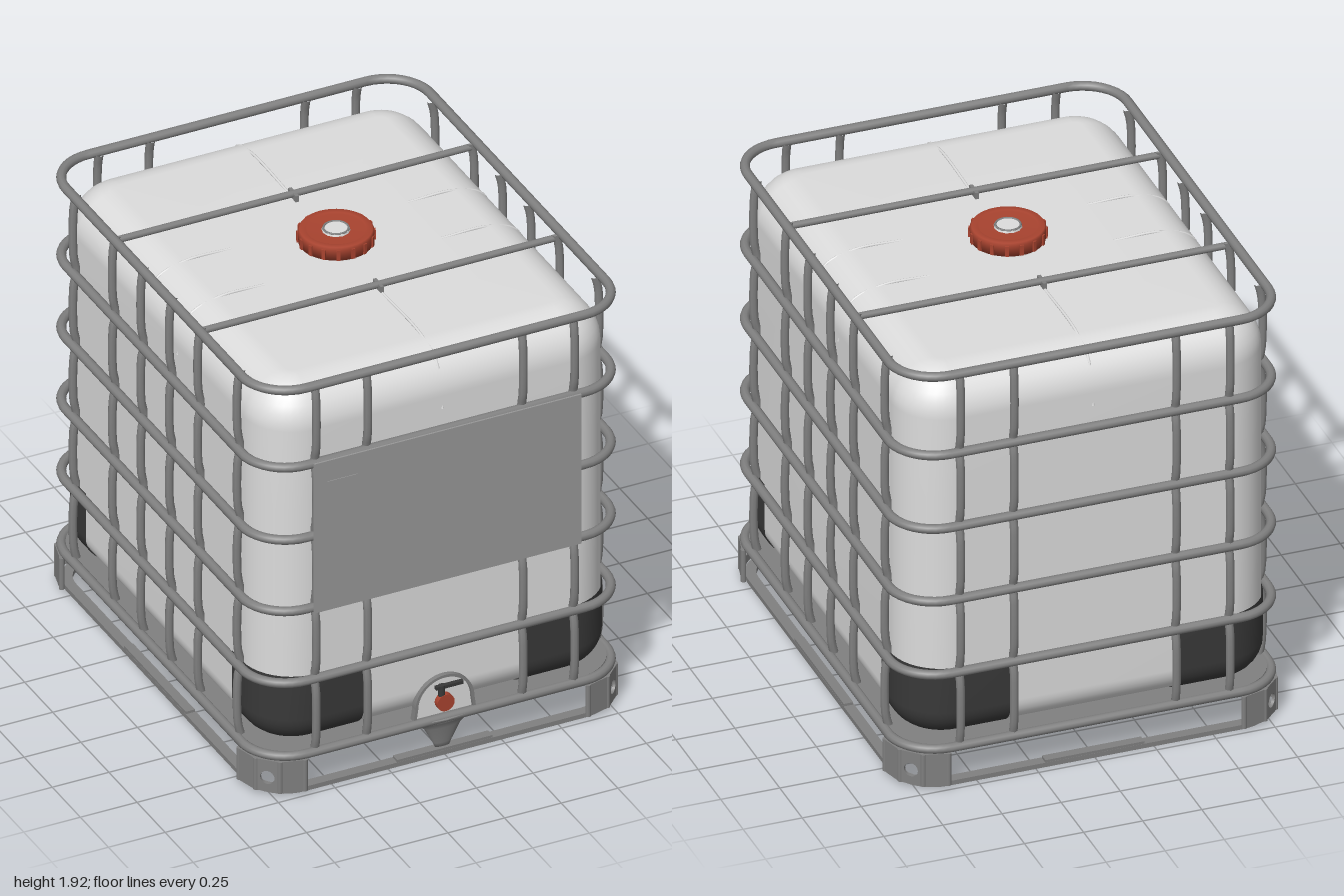
import * as THREE from 'three';

const N = 10; // segments per rounded corner
const PER = N + 1;

// Point i on a rounded rectangle in plan, running from +x towards +z
function outline(hx, hz, r, i) {
  const k = Math.floor(i / PER) % 4;
  const a = (k + (i % PER) / N) * Math.PI / 2;
  const sx = k === 0 || k === 3 ? 1 : -1, sz = k < 2 ? 1 : -1;
  return [sx * (hx - r) + r * Math.cos(a), sz * (hz - r) + r * Math.sin(a)];
}

// Smooth surface from a grid of points: u runs around, v runs upwards
function grid(fn, nu, nv, closedU, closedV) {
  const pos = [], idx = [];
  const cu = closedU ? nu : nu + 1, cv = closedV ? nv : nv + 1;
  for (let j = 0; j < cv; j++) for (let i = 0; i < cu; i++) pos.push(...fn(i, j));
  const at = (i, j) => (j % cv) * cu + (i % cu);
  for (let j = 0; j < nv; j++) for (let i = 0; i < nu; i++) {
    const a = at(i, j), b = at(i + 1, j), c = at(i, j + 1), d = at(i + 1, j + 1);
    idx.push(a, c, b, b, c, d);
  }
  const g = new THREE.BufferGeometry();
  g.setAttribute('position', new THREE.Float32BufferAttribute(pos, 3));
  g.setIndex(idx);
  g.computeVertexNormals();
  return g;
}

// Tubular hoop following a rounded rectangle
function hoop(hx, hz, r, y, t) {
  return grid((i, j) => {
    const a = j / 10 * Math.PI * 2, o = t * Math.cos(a);
    const [x, z] = outline(hx + o, hz + o, r + o, i);
    return [x, y + t * Math.sin(a), z];
  }, 4 * PER, 10, true, true);
}

// Flat rounded-rectangle slab, optionally hollow, resting at height y
function slab(hx, hz, r, y, h, band) {
  const pts = (d) => Array.from({ length: 4 * PER }, (_, i) => new THREE.Vector2(...outline(hx - d, hz - d, r - d, i)));
  const s = new THREE.Shape(pts(0));
  if (band) s.holes.push(new THREE.Path(pts(band)));
  const g = new THREE.ExtrudeGeometry(s, { depth: h, bevelEnabled: false });
  return g.rotateX(-Math.PI / 2).translate(0, y, 0);
}

function tube(points, r, segs = 24) {
  const c = new THREE.CatmullRomCurve3(points.map(p => new THREE.Vector3(...p)));
  return new THREE.TubeGeometry(c, segs, r, 8);
}

export function createModel() {
  const root = new THREE.Group();
  const mat = (name, color, side = THREE.FrontSide) => {
    const m = new THREE.MeshStandardMaterial({ color, side });
    m.name = name;
    return m;
  };
  const white = mat('translucent white plastic', 0xdcdcdc);
  const steel = mat('galvanised steel', 0x808080);
  const sheet = mat('sign plate grey', 0x979797);
  const dark = mat('dark guard', 0x393939, THREE.DoubleSide);
  const red = mat('red plastic', 0xa8432f);
  const add = (name, geo, m, x = 0, y = 0, z = 0) => {
    const mesh = new THREE.Mesh(geo, m);
    mesh.name = name;
    mesh.position.set(x, y, z);
    root.add(mesh);
    return mesh;
  };

  // Tank: stacked rounded rectangles with rolled bottom and top edges
  const HX = 0.775, HZ = 0.95, RC = 0.21, RB = 0.13, RT = 0.18;
  const bottomRows = [], topRows = [];
  for (let i = 0; i <= 8; i++) {
    const a = i / 8 * Math.PI / 2;
    bottomRows.push([RB * (1 - Math.sin(a)), 0.19 + RB * (1 - Math.cos(a))]);
    topRows.push([RT * (1 - Math.cos(a)), 1.84 - RT + RT * Math.sin(a)]);
  }
  const rows = [...bottomRows, [0, 0.8], [0, 1.3], ...topRows, [RT, 1.84, 0.6], [RT, 1.84, 0]];
  add('tank', grid((i, j) => {
    const [d, y, s = 1] = rows[j];
    const [x, z] = outline(HX - d, HZ - d, RC - d, i);
    return [x * s, y, z * s];
  }, 4 * PER, rows.length - 1, true, false), white);

  // Moulded seams on the tank shoulders
  for (const s of [1, -1]) {
    add('endSeam', tube([[0, 1.838, 0.38 * s], [0, 1.838, 0.76 * s], [0, 1.788, 0.895 * s], [0, 1.6, 0.948 * s]], 0.006), white);
    for (const z of [-0.15, 0.15])
      add('sideSeam', tube([[0.39 * s, 1.838, z], [0.59 * s, 1.838, z], [0.72 * s, 1.788, z], [0.773 * s, 1.62, z]], 0.006), white);
  }

  // Dark guards hugging the four lower corners
  const guardRows = [...bottomRows, [0, 0.525]];
  for (const sx of [1, -1]) for (const sz of [1, -1]) {
    const nu = N + 2;
    add('cornerGuard', grid((i, j) => {
      const [d0, y] = guardRows[j], d = d0 - 0.007;
      const u = sx * sz > 0 ? i : nu - i;
      let p;
      if (u === 0) p = [HX - d, 0.65];
      else if (u === nu) p = [0.35, HZ - d];
      else p = outline(HX - d, HZ - d, RC - d, u - 1).map(Math.abs);
      return [p[0] * sx, y, p[1] * sz];
    }, nu, guardRows.length - 1, false, false), dark);
  }

  // Cage hoops
  const levels = [0.175, 0.515, 0.85, 1.183, 1.52, 1.88];
  for (const y of levels) add('cageHoop', hoop(0.803, 0.972, 0.19, y, 0.02), steel);

  // Cage uprights, pinched inwards where they meet the hoops
  const upright = (x, z, nx, nz) => {
    const pts = [];
    levels.forEach((y, k) => {
      const put = (yy, o) => pts.push([x + nx * o, yy, z + nz * o]);
      if (k > 0) put(y - 0.06, 0);
      put(y, -0.014);
      if (k < levels.length - 1) put(y + 0.06, 0);
    });
    add('cageUpright', tube(pts, 0.018, 48), steel);
  };
  for (const s of [1, -1]) {
    for (const x of [-0.57, -0.343, 0.343, 0.57]) upright(x, 0.971 * s, 0, s);
    for (const z of [-0.73, -0.38, -0.127, 0.127, 0.38, 0.73]) upright(0.795 * s, z, s, 0);
    // Bars across the top with a small centre clip
    const bar = new THREE.CylinderGeometry(0.015, 0.015, 1.6, 10).rotateZ(Math.PI / 2);
    add('topBar', bar, steel, 0, 1.86, 0.378 * s);
    add('barClip', new THREE.BoxGeometry(0.015, 0.03, 0.07), steel, 0, 1.853, 0.378 * s);
  }

  // Pallet: pan under the tank and open runner on the ground
  add('pan', slab(0.79, 0.96, 0.19, 0.152, 0.036), steel);
  add('runner', slab(0.8, 0.97, 0.18, 0, 0.02, 0.045), steel);
  for (const s of [1, -1]) {
    add('runnerPad', new THREE.BoxGeometry(0.04, 0.014, 0.55), steel, 0.779 * s, 0.024, 0);
    add('runnerPad', new THREE.BoxGeometry(0.42, 0.014, 0.04), steel, 0, 0.024, 0.949 * s);
  }

  // Corner legs: three panels around each corner, the middle one pierced
  const R = 0.2, legH = 0.145, panelW = 2 * R * Math.sin(Math.PI / 12);
  const panel = (pierced) => {
    const w = panelW / 2 + 0.002;
    const s = new THREE.Shape([[-w, 0], [w, 0], [w, legH], [-w, legH]].map(p => new THREE.Vector2(...p)));
    if (pierced) s.holes.push(new THREE.Path().absellipse(0, 0.065, 0.03, 0.03, 0, Math.PI * 2, true));
    return new THREE.ExtrudeGeometry(s, { depth: 0.012, bevelEnabled: false, curveSegments: 16 });
  };
  for (let k = 0; k < 4; k++) {
    const leg = new THREE.Group();
    leg.name = 'cornerLeg';
    const sx = k === 0 || k === 3 ? 1 : -1, sz = k < 2 ? 1 : -1;
    leg.position.set(0.625 * sx, 0.015, 0.79 * sz);
    for (let i = 0; i < 3; i++) {
      const a = k * Math.PI / 2 + (15 + 30 * i) * Math.PI / 180;
      const m = new THREE.Mesh(panel(i === 1), steel);
      const d = R * Math.cos(Math.PI / 12) - 0.01;
      m.name = 'legPanel';
      m.position.set(d * Math.cos(a), 0, d * Math.sin(a));
      m.rotation.y = Math.PI / 2 - a;
      leg.add(m);
    }
    for (let i = 0; i < 4; i++) {
      const a = k * Math.PI / 2 + i * Math.PI / 6;
      const rib = new THREE.Mesh(new THREE.CylinderGeometry(0.012, 0.012, legH, 8), steel);
      rib.name = 'legRib';
      rib.position.set((R - 0.006) * Math.cos(a), legH / 2, (R - 0.006) * Math.sin(a));
      leg.add(rib);
    }
    root.add(leg);
  }

  // Sign plate with a small raised panel
  add('signPlate', new THREE.BoxGeometry(1.18, 0.695, 0.008), sheet, 0, 1.182, 0.993);
  add('signPanel', new THREE.BoxGeometry(0.135, 0.135, 0.004), sheet, -0.468, 1.368, 0.998);

  // Outlet arch, its light face and the funnel-shaped support below
  const arch = (r) => {
    const s = new THREE.Shape();
    s.moveTo(-r - 0.01, 0.17);
    s.lineTo(r + 0.01, 0.17);
    s.lineTo(r, 0.24);
    s.absarc(0, 0.24, r, 0, Math.PI, false);
    s.closePath();
    return s;
  };
  const frame = arch(0.13);
  frame.holes.push(arch(0.118));
  add('outletFrame', new THREE.ExtrudeGeometry(frame, { depth: 0.03, bevelEnabled: false, curveSegments: 20 }), steel, 0, 0, 0.94);
  add('outletFace', new THREE.ExtrudeGeometry(arch(0.12), { depth: 0.012, bevelEnabled: false, curveSegments: 20 }), white, 0, 0, 0.942);
  const funnel = [[0, 0.03], [0.032, 0.03], [0.04, 0.05], [0.08, 0.125], [0.11, 0.15], [0.17, 0.18], [0, 0.18]];
  add('outletSupport', new THREE.LatheGeometry(funnel.map(p => new THREE.Vector2(...p)), 28), steel, 0, 0, 0.945).scale.z = 0.3;

  // Outlet valve with red cap and dark lever
  add('valveCap', new THREE.CylinderGeometry(0.038, 0.038, 0.03, 20).rotateX(Math.PI / 2), red, 0, 0.245, 0.965);
  add('valveStem', new THREE.CylinderGeometry(0.014, 0.014, 0.05, 10), dark, -0.012, 0.3, 0.965);
  add('valveLever', new THREE.BoxGeometry(0.12, 0.014, 0.018), dark, 0.02, 0.317, 0.966);

  // Filler neck, gripped lid and vent
  add('fillerNeck', new THREE.CylinderGeometry(0.13, 0.14, 0.03, 36), white, 0, 1.85, 0);
  const lid = [[0, 1.852], [0.15, 1.852], [0.152, 1.9], [0.145, 1.91], [0.12, 1.91], [0.115, 1.904], [0, 1.904]];
  add('lid', new THREE.LatheGeometry(lid.map(p => new THREE.Vector2(...p)), 40), red);
  for (let i = 0; i < 16; i++) {
    const a = i / 16 * Math.PI * 2;
    add('lidGrip', new THREE.BoxGeometry(0.012, 0.045, 0.016), red, 0.151 * Math.cos(a), 1.878, 0.151 * Math.sin(a)).rotation.y = -a;
  }
  add('ventDisc', new THREE.CylinderGeometry(0.055, 0.058, 0.01, 12), white, 0, 1.908, 0);
  add('ventRing', new THREE.TorusGeometry(0.05, 0.005, 6, 24).rotateX(Math.PI / 2), steel, 0, 1.912, 0);
  return root;
}
